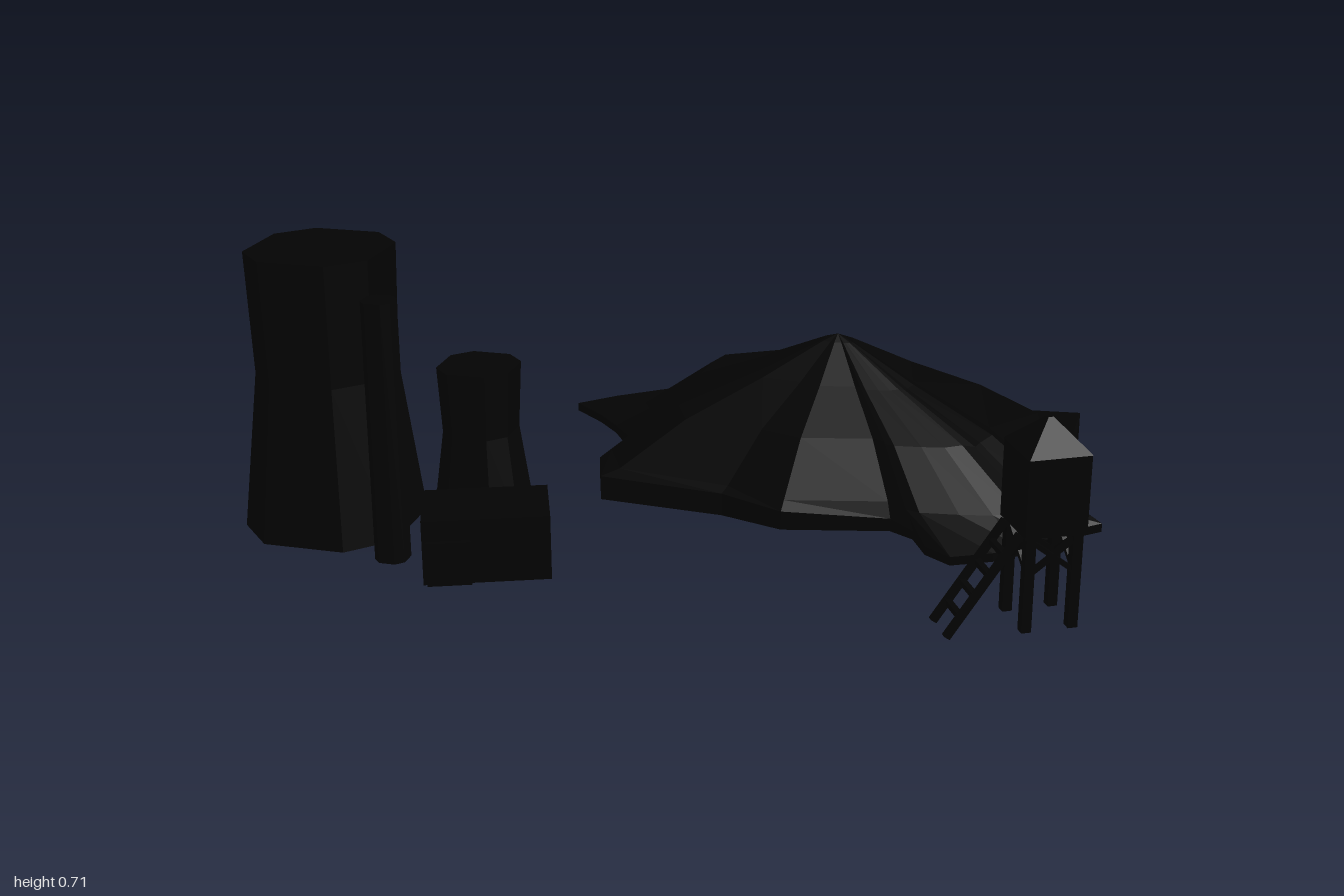
import * as THREE from 'three';

const dark = new THREE.MeshStandardMaterial({ color: 0x030303, flatShading: true, side: THREE.DoubleSide });

function add(parent, name, geometry, x = 0, y = 0, z = 0) {
  const mesh = new THREE.Mesh(geometry, dark);
  mesh.name = name;
  mesh.position.set(x, y, z);
  parent.add(mesh);
  return mesh;
}

// Chamfered square tower, open below and capped above; profile is [half width, y]
function chamferedTower(profile) {
  const k = 1 / Math.cos(Math.PI / 8);
  const pts = profile.map(([w, y]) => new THREE.Vector2(w * k, y));
  pts.push(new THREE.Vector2(0, profile[profile.length - 1][1]));
  const g = new THREE.LatheGeometry(pts, 8, Math.PI / 8);
  // Lengthen the four straight sides, leaving shorter chamfers
  const p = g.attributes.position, widen = 1.26;
  for (let i = 0; i < p.count; i++) {
    const x = p.getX(i), z = p.getZ(i);
    if (Math.abs(x) < Math.abs(z)) p.setX(i, x * widen);
    else p.setZ(i, z * widen);
  }
  g.computeVertexNormals();
  return g;
}

// Square bar between two points
function bar(parent, name, a, b, size) {
  const from = new THREE.Vector3(...a), to = new THREE.Vector3(...b);
  const mesh = add(parent, name, new THREE.BoxGeometry(size, from.distanceTo(to), size));
  mesh.position.copy(from).lerp(to, 0.5);
  mesh.quaternion.setFromUnitVectors(new THREE.Vector3(0, 1, 0), to.sub(from).normalize());
}

// Hill: rings between the peak and a ragged outline.
// Outline rows: [x, z, share of the radius taken by the body, rim height, shoulder height]
function hillGeometry() {
  const outline = [
    [-0.16, -0.77, 0.72], [0, -0.59, 0.93, 0.05], [0.08, -0.585, 0.95, 0.07], [0.32, -0.55, 0.95, 0.08],
    [0.56, -0.545, 0.95, 0.08], [0.91, -0.59, 0.82, 0.075], [0.91, -0.06, 0.95, 0.04], [1, 0.035, 0.85],
    [0.91, 0.11, 0.92], [0.91, 0.165, 0.9], [0.86, 0.16, 0.9], [0.82, 0.22, 0.86], [0.76, 0.27, 0.8],
    [0.665, 0.315, 0.75], [0.6, 0.27, 0.8], [0.56, 0.19, 0.92], [0.5, 0.155, 0.95, 0.035],
    [0.24, 0.21, 0.95, 0.05], [0.08, 0.16, 0.95, 0.06], [-0.24, 0.135, 0.92, 0.065],
    [-0.29, -0.02, 0.95, 0.05], [-0.26, -0.205, 0.95, 0.04], [-0.335, -0.32, 0.86], [-0.4, -0.39, 0.78],
    [-0.49, -0.465, 0.72], [-0.4, -0.55, 0.78, 0.024, 0.205], [-0.3, -0.605, 0.84, 0.024, 0.215],
    [-0.23, -0.66, 0.8, 0.024, 0.21]];
  const peak = [0.3, 0.38, -0.2], n = outline.length;
  const pos = [...peak], index = [];
  for (let r = 0; r < 6; r++)
    for (const [x, z, body, rim = 0.024, shoulder = 0.192] of outline) {
      const t = [0.07 * body, 0.35 * body, 0.7 * body, body, 1, 1][r];
      const y = [0.364, 0.282, shoulder, Math.max(0.072, rim + 0.015), rim, 0.002][r];
      pos.push(peak[0] + (x - peak[0]) * t, y, peak[2] + (z - peak[2]) * t);
    }
  for (let i = 0; i < n; i++) {
    const j = (i + 1) % n;
    index.push(0, 1 + j, 1 + i);
    for (let r = 0; r < 5; r++) {
      const a = 1 + r * n, b = a + n;
      index.push(a + i, a + j, b + i, a + j, b + j, b + i);
    }
  }
  const g = new THREE.BufferGeometry();
  g.setAttribute('position', new THREE.Float32BufferAttribute(pos, 3));
  g.setIndex(index);
  g.computeVertexNormals();
  return g;
}

function waterTower() {
  const tower = new THREE.Group();
  tower.name = 'waterTower';
  add(tower, 'tank', new THREE.BoxGeometry(0.139, 0.178, 0.139), 0, 0.344, 0);
  add(tower, 'tankRoof', new THREE.CylinderGeometry(0.008, 0.1, 0.068, 4, 1, false, Math.PI / 4), 0, 0.466, 0);
  // Legs and crossed braces on all four sides
  const r = 0.053;
  for (let k = 0; k < 4; k++) {
    const side = new THREE.Group();
    side.name = 'legSide';
    side.rotation.y = k * Math.PI / 2;
    add(side, 'leg', new THREE.BoxGeometry(0.022, 0.225, 0.022), r, 0.148, r);
    bar(side, 'brace', [-r, 0.165, r], [r, 0.245, r], 0.011);
    bar(side, 'brace', [r, 0.165, r], [-r, 0.245, r], 0.011);
    tower.add(side);
  }
  // Leaning ladder
  const foot = [-0.225, 0.035], top = [-0.07, 0.255], w = 0.04;
  for (const s of [-1, 1])
    bar(tower, 'ladderRail', [foot[0], foot[1], s * w], [top[0], top[1], s * w], 0.015);
  for (let i = 1; i <= 4; i++) {
    const t = i / 5;
    const x = foot[0] + (top[0] - foot[0]) * t, y = foot[1] + (top[1] - foot[1]) * t;
    bar(tower, 'ladderRung', [x, y, -w], [x, y, w], 0.013);
  }
  tower.position.set(0.887, 0, 0.6);
  tower.rotation.y = 0.48;
  return tower;
}

function shed() {
  const group = new THREE.Group();
  group.name = 'shed';
  // Box without a floor
  const walls = new THREE.BoxGeometry(0.288, 0.155, 0.181);
  const idx = Array.from(walls.index.array);
  idx.splice(18, 6);
  walls.setIndex(idx);
  walls.clearGroups();
  add(group, 'shedWalls', walls, 0, 0.108, 0);
  add(group, 'shedDoor', new THREE.BoxGeometry(0.1, 0.105, 0.02), -0.085, 0.083, 0.09);
  group.position.set(-0.361, 0, 0.628);
  group.rotation.y = 0.36;
  return group;
}

export function createModel() {
  const model = new THREE.Group();
  model.name = 'powerPlantScene';
  add(model, 'hill', hillGeometry());
  add(model, 'largeCoolingTower',
    chamferedTower([[0.192, 0.035], [0.148, 0.42], [0.155, 0.715]]), -0.808, 0, 0.463);
  add(model, 'smallCoolingTower',
    chamferedTower([[0.109, 0.035], [0.082, 0.25], [0.09, 0.413]]), -0.475, 0, 0.34);
  add(model, 'chimney', chamferedTower([[0.037, 0.03], [0.036, 0.655]]), -0.589, 0, 0.64);
  model.add(shed(), waterTower());
  return model;
}
